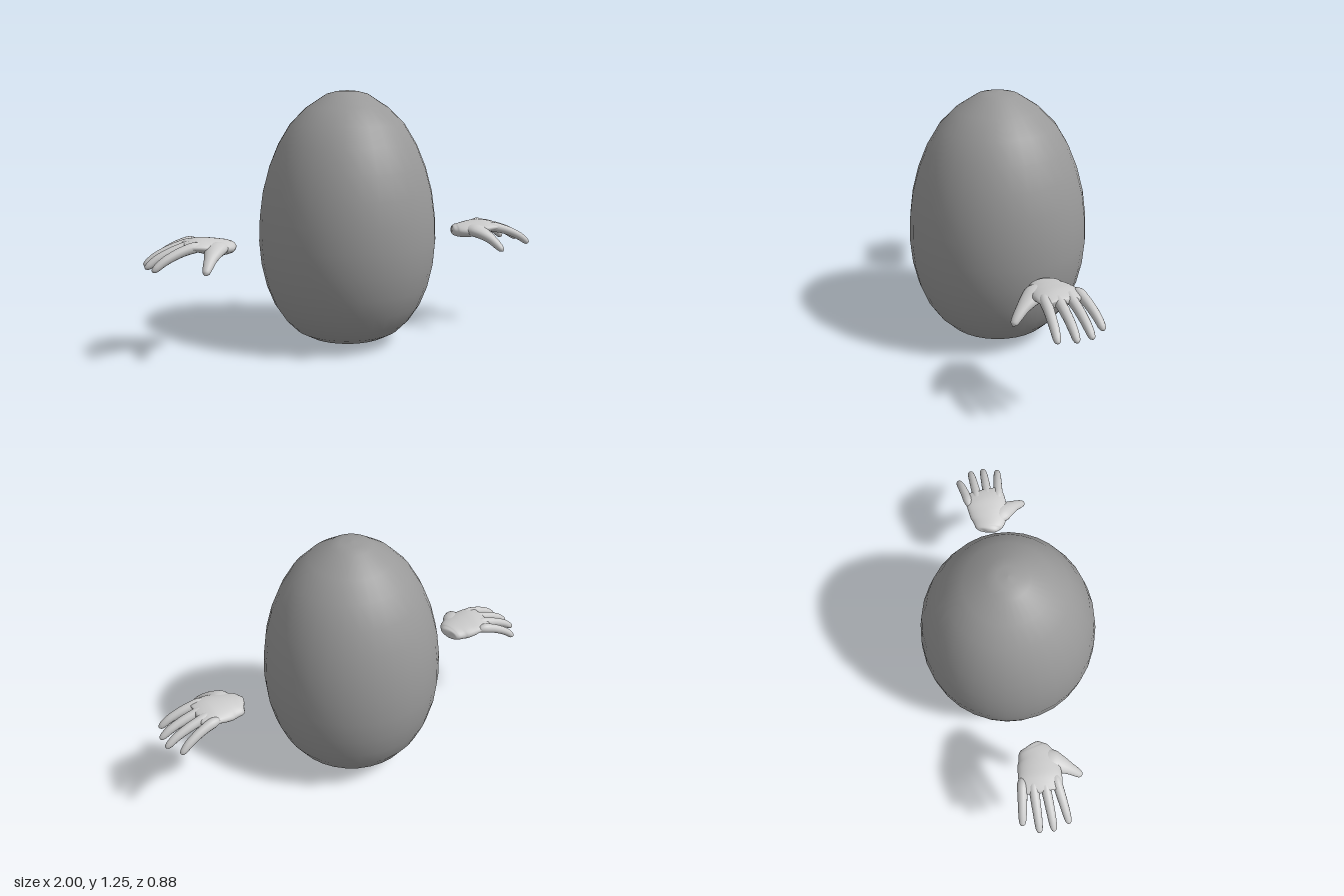
import * as THREE from 'three';

const skin = new THREE.MeshStandardMaterial({ color: 0xcccccc });
const shell = new THREE.MeshStandardMaterial({ color: 0x999999 });
const UP = new THREE.Vector3(0, 1, 0);

// Smooth loft through stations [x, y, z, halfWidth, halfHeight]; side = -1 mirrors it in x.
function loft(stations, side, rows, cols) {
  const path = new THREE.CatmullRomCurve3(stations.map(([x, y, z]) => new THREE.Vector3(x * side, y, z)));
  const size = new THREE.CatmullRomCurve3(stations.map(([, , , w, h], i) => new THREE.Vector3(w, h, i * 0.05)));
  const positions = [], index = [];
  for (let i = 0; i <= rows; i++) {
    const t = i / rows;
    const centre = path.getPoint(t), r = size.getPoint(t);
    const across = path.getTangent(t).cross(UP).normalize();
    const over = across.clone().cross(path.getTangent(t)).normalize();
    for (let j = 0; j < cols; j++) {
      const a = (j / cols) * Math.PI * 2;
      const p = centre.clone()
        .addScaledVector(across, Math.cos(a) * Math.max(r.x, 0.0002))
        .addScaledVector(over, Math.sin(a) * Math.max(r.y, 0.0002));
      positions.push(p.x, p.y, p.z);
      if (i < rows) {
        const k = i * cols + j, l = i * cols + (j + 1) % cols;
        index.push(k, k + cols, l, l, k + cols, l + cols);
      }
    }
  }
  const geometry = new THREE.BufferGeometry();
  geometry.setAttribute('position', new THREE.Float32BufferAttribute(positions, 3));
  geometry.setIndex(index);
  geometry.computeVertexNormals();
  return geometry;
}

function part(name, geometry, material) {
  const mesh = new THREE.Mesh(geometry, material);
  mesh.name = name;
  return mesh;
}

function makeHand(name, side) {
  const hand = new THREE.Group();
  hand.name = name;

  // Palm, from the rounded wrist to the knuckles
  hand.add(part('palm', loft([
    [0.583, 0.526, 0.000, 0, 0],
    [0.588, 0.526, 0.002, 0.045, 0.021],
    [0.605, 0.523, 0.006, 0.070, 0.031],
    [0.65, 0.524, 0.017, 0.092, 0.038],
    [0.70, 0.531, 0.020, 0.102, 0.038],
    [0.75, 0.540, 0.018, 0.105, 0.032],
    [0.79, 0.540, 0.012, 0.102, 0.025],
    [0.815, 0.537, 0.008, 0.085, 0.018],
    [0.825, 0.535, 0.008, 0, 0],
  ], side, 40, 32), skin));

  // Four fingers: base z, tip z, tip x
  const fingers = [
    ['indexFinger', 0.083, 0.118, 0.975],
    ['middleFinger', 0.032, 0.041, 0.997],
    ['ringFinger', -0.020, -0.029, 0.993],
    ['littleFinger', -0.066, -0.103, 0.945],
  ];
  // Shared curl: fraction along the finger, centre height, radius
  const curl = [
    [0, 0.540, 0], [0.06, 0.541, 0.017], [0.2, 0.541, 0.025], [0.4, 0.530, 0.0235],
    [0.6, 0.512, 0.022], [0.8, 0.487, 0.020], [0.93, 0.463, 0.017],
    [0.985, 0.451, 0.011], [1, 0.446, 0],
  ];
  for (const [label, z0, z1, tip] of fingers) {
    const stations = curl.map(([f, y, r]) =>
      [0.73 + (tip - 0.73) * f, y, z0 + (z1 - z0) * f, r, r]);
    hand.add(part(label, loft(stations, side, 32, 14), skin));
  }

  // Thumb, with a broad root blending into the palm
  hand.add(part('thumb', loft([
    [0.640, 0.526, 0.030, 0, 0],
    [0.650, 0.527, 0.048, 0.040, 0.024],
    [0.680, 0.527, 0.090, 0.054, 0.032],
    [0.703, 0.514, 0.130, 0.043, 0.029],
    [0.725, 0.492, 0.168, 0.030, 0.024],
    [0.744, 0.465, 0.200, 0.023, 0.020],
    [0.756, 0.446, 0.219, 0.016, 0.014],
    [0.762, 0.437, 0.227, 0, 0],
  ], side, 36, 18), skin));
  return hand;
}

export function createModel() {
  const model = new THREE.Group();
  model.name = 'eggWithHands';

  // Egg-shaped body: radius, height from the shallow base to the crown
  const profile = [
    [0, 0.005], [0.10, 0.017], [0.20, 0.038], [0.26, 0.07], [0.315, 0.125], [0.365, 0.20],
    [0.403, 0.295], [0.428, 0.405], [0.438, 0.52], [0.433, 0.64], [0.417, 0.76],
    [0.385, 0.88], [0.34, 0.99], [0.28, 1.09], [0.20, 1.17], [0.10, 1.235],
    [0.05, 1.248], [0, 1.252],
  ].map(([r, y]) => new THREE.Vector2(r, y - 0.004));
  model.add(part('body', new THREE.LatheGeometry(profile, 32), shell));

  // Floating hands
  model.add(makeHand('leftHand', 1), makeHand('rightHand', -1));
  return model;
}
